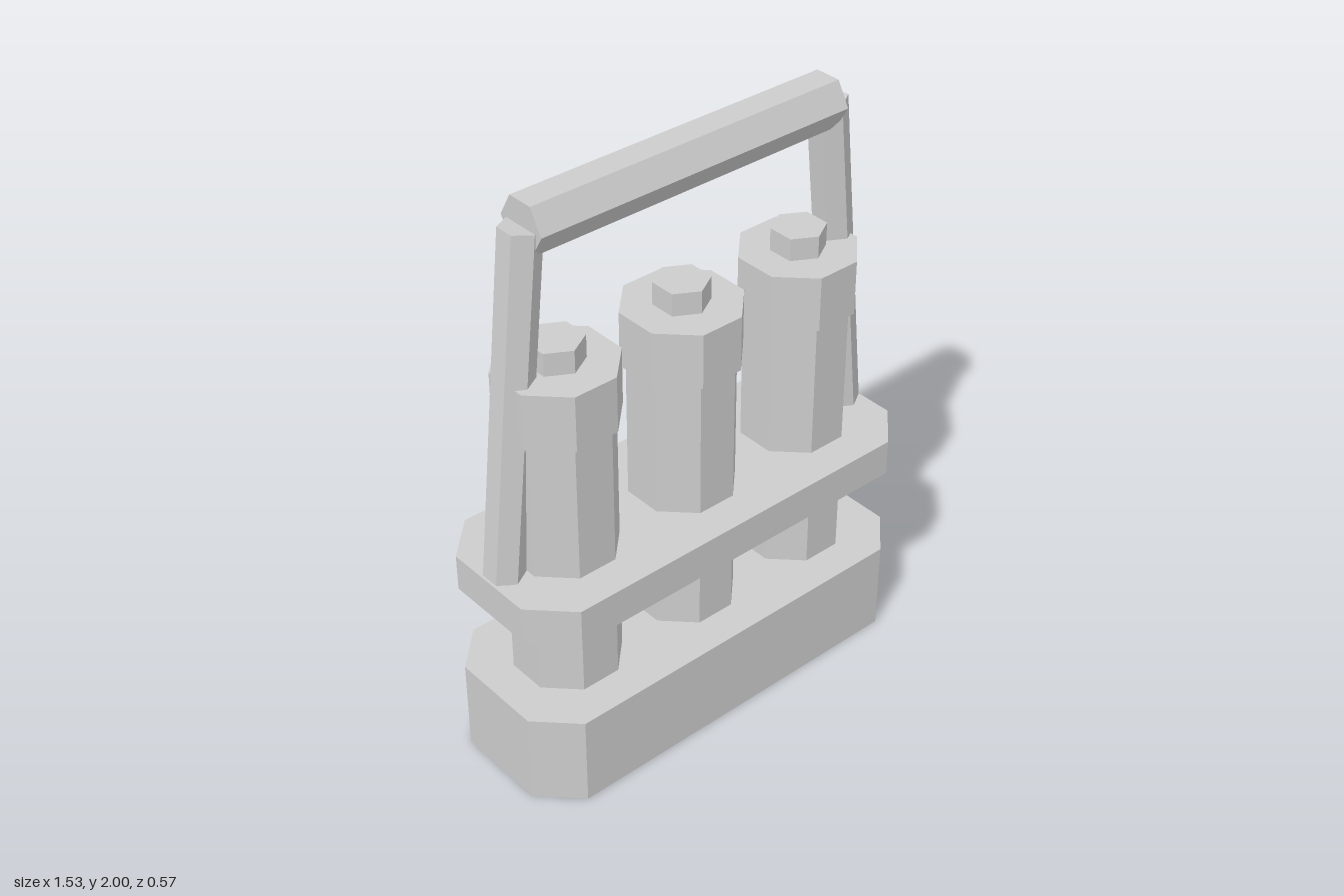
import * as THREE from 'three';

export function createModel() {
  const model = new THREE.Group();
  model.name = 'bottleCarrier';
  const grey = new THREE.MeshStandardMaterial({ color: 0xcccccc, flatShading: true });
  grey.name = 'plainGrey';

  function add(name, geometry, parent = model) {
    const mesh = new THREE.Mesh(geometry, grey);
    mesh.name = name;
    parent.add(mesh);
    return mesh;
  }

  // Horizontal slab with cut corners, from height y0 to y1
  function slab(name, y0, y1) {
    const x = 0.766, z = 0.287, cut = 0.125;
    const outline = new THREE.Shape([
      [x - cut, -z], [x, cut - z], [x, z - cut], [x - cut, z],
      [cut - x, z], [-x, z - cut], [-x, cut - z], [cut - x, -z],
    ].map(([a, b]) => new THREE.Vector2(a, b)));
    const geometry = new THREE.ExtrudeGeometry(outline, { depth: y1 - y0, bevelEnabled: false });
    add(name, geometry.rotateX(-Math.PI / 2).translate(0, y0, 0));
  }
  slab('base', 0, 0.322);
  slab('holderPlate', 0.645, 0.772);

  // Upright prism; octagons are turned so a flat side faces the front
  function prism(name, radius, sides, y0, y1, parent) {
    const geometry = new THREE.CylinderGeometry(radius, radius, y1 - y0, sides);
    if (sides === 8) geometry.rotateY(Math.PI / 8);
    add(name, geometry, parent).position.y = (y0 + y1) / 2;
  }

  // Three cylinders with collars and small hexagonal tops
  for (const x of [-0.479, 0, 0.479]) {
    const canister = new THREE.Group();
    canister.name = 'canister';
    canister.position.x = x;
    prism('canisterBody', 0.179, 8, 0.322, 1.26, canister);
    prism('canisterCap', 0.198, 8, 1.253, 1.443, canister);
    prism('canisterKnob', 0.09, 6, 1.443, 1.52, canister);
    model.add(canister);
  }

  // Hexagonal rod between two points in the x-y plane
  function rod(name, radius, x0, y0, x1, y1) {
    const dx = x1 - x0, dy = y1 - y0;
    const mesh = add(name, new THREE.CylinderGeometry(radius, radius, Math.hypot(dx, dy), 6));
    mesh.position.set((x0 + x1) / 2, (y0 + y1) / 2, 0);
    mesh.rotation.z = Math.atan2(-dx, dy);
  }
  rod('handleBar', 0.09, -0.577, 1.922, 0.577, 1.922);
  for (const side of [-1, 1]) {
    rod(side > 0 ? 'leftHandleStrut' : 'rightHandleStrut', 0.065, side * 0.704, 0.77, side * 0.579, 1.922);
  }

  return model;
}
